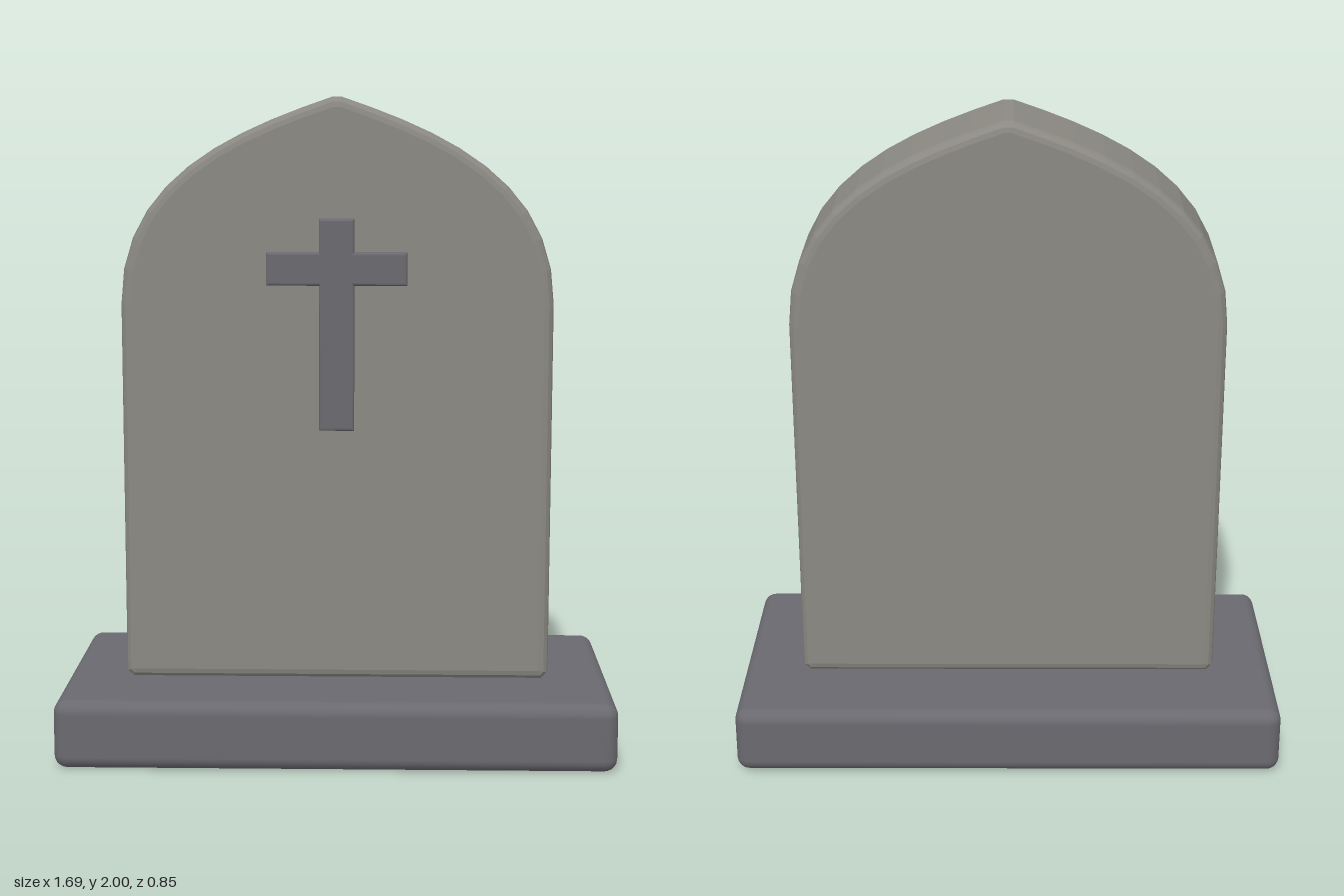
import * as THREE from 'three';
import { RoundedBoxGeometry } from 'three/addons/geometries/RoundedBoxGeometry.js';

const paleStone = new THREE.MeshStandardMaterial({ color: 0x8b8982 });
const darkStone = new THREE.MeshStandardMaterial({ color: 0x6a696f });

// Extrude a front outline between two z planes, with rounded edges kept inside the outline
function bevelled(name, shape, zBack, zFront, bevel, material) {
  const geometry = new THREE.ExtrudeGeometry(shape, {
    depth: zFront - zBack - 2 * bevel,
    bevelThickness: bevel,
    bevelSize: bevel,
    bevelOffset: -bevel,
    bevelSegments: 3,
    curveSegments: 10,
  });
  geometry.translate(0, 0, zBack + bevel);
  const mesh = new THREE.Mesh(geometry, material);
  mesh.name = name;
  return mesh;
}

// Straight sides rising into a pointed arch with a slightly blunt tip
function slabOutline() {
  const w = 0.655, bottom = 0.215, spring = 1.38, top = 2, tip = 0.015, r = 0.02;
  const s = new THREE.Shape();
  s.moveTo(-w + r, bottom);
  s.lineTo(w - r, bottom);
  s.lineTo(w, bottom + r);
  s.lineTo(w, spring);
  s.bezierCurveTo(w, 1.76, 0.31, 1.9, tip, top);
  s.lineTo(-tip, top);
  s.bezierCurveTo(-0.31, 1.9, -w, 1.76, -w, spring);
  s.lineTo(-w, bottom + r);
  s.closePath();
  return s;
}

// Upright and arms as a single outline
function crossOutline() {
  const post = 0.053, arm = 0.212;
  return new THREE.Shape([
    [-post, 1.0], [post, 1.0], [post, 1.44], [arm, 1.44], [arm, 1.54], [post, 1.54],
    [post, 1.64], [-post, 1.64], [-post, 1.54], [-arm, 1.54], [-arm, 1.44], [-post, 1.44],
  ].map(([x, y]) => new THREE.Vector2(x, y)));
}

export function createModel() {
  const model = new THREE.Group();
  model.name = 'gravestone';

  // Plinth
  const base = new THREE.Mesh(new RoundedBoxGeometry(1.694, 0.21, 0.847, 3, 0.04), darkStone);
  base.name = 'base';
  base.position.y = 0.105;

  // Headstone and the raised cross on its front
  model.add(
    base,
    bevelled('headstone', slabOutline(), -0.168, 0.168, 0.03, paleStone),
    bevelled('cross', crossOutline(), 0.13, 0.2, 0.008, darkStone),
  );
  return model;
}
